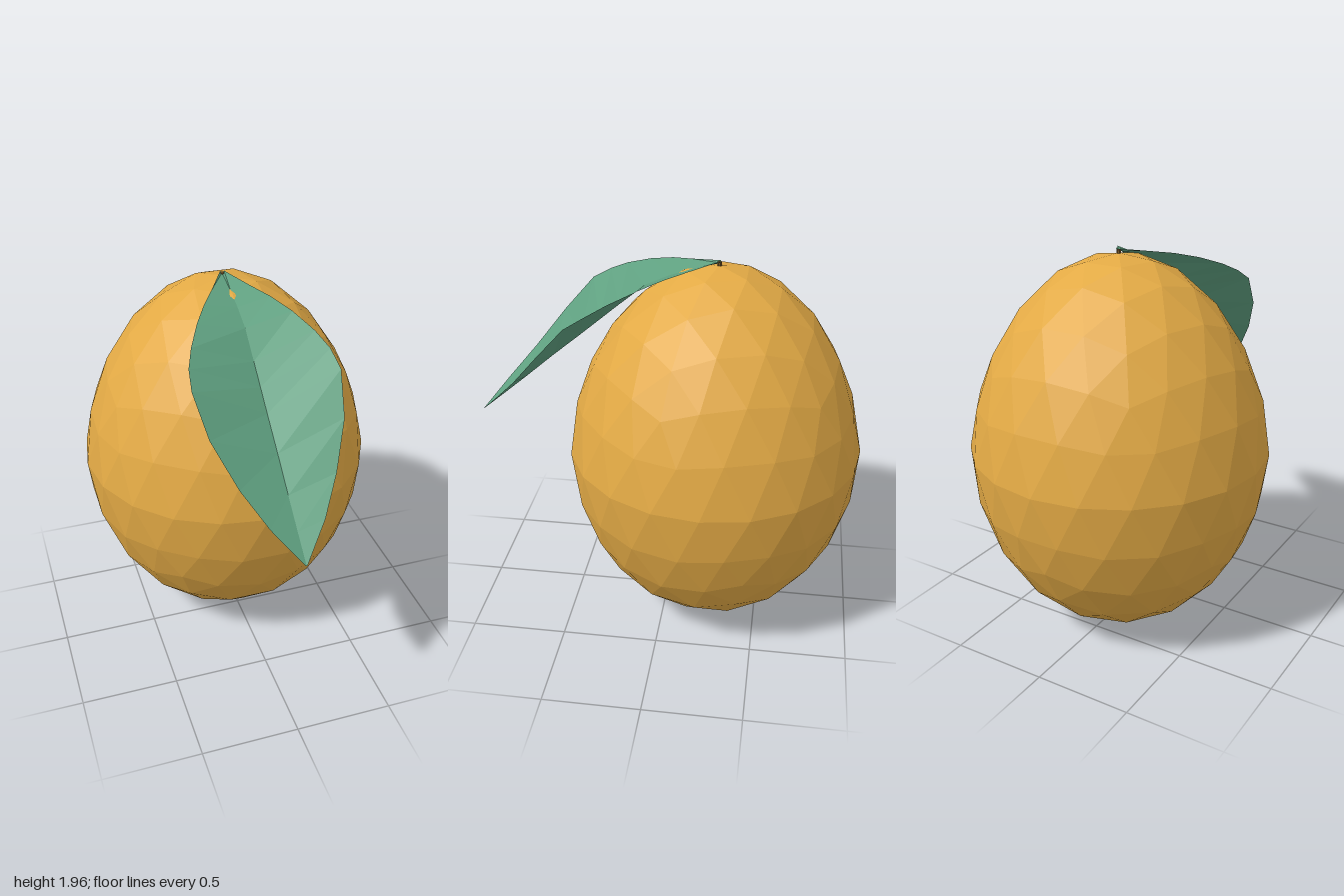
import * as THREE from 'three';

function material(color, extra = {}) {
  return new THREE.MeshStandardMaterial({ color, flatShading: true, ...extra });
}

// Faceted fruit: an icosphere standing on a pole, stretched tall and narrowed towards the top
function createFruit() {
  const geometry = new THREE.IcosahedronGeometry(1, 3);
  geometry.rotateX(-Math.atan((1 + Math.sqrt(5)) / 2));
  geometry.rotateY(Math.PI);
  geometry.rotateZ(Math.PI);
  const p = geometry.attributes.position;
  for (let i = 0; i < p.count; i++) {
    const y = p.getY(i);
    const r = 0.755 * (1 - 0.11 * Math.max(0, y));
    p.setXYZ(i, p.getX(i) * r, 0.967 + y * 0.967, p.getZ(i) * r - 0.245);
  }
  geometry.computeVertexNormals();
  const mesh = new THREE.Mesh(geometry, material(0xe3aa45));
  mesh.name = 'fruit';
  return mesh;
}

// Drooping leaf: sections along its length, each a shallow V with the midrib lowest
function createLeaf() {
  // z, half width, height of the edges, height of the midrib
  const sections = [
    [-0.25, 0.01, 1.955, 1.945],
    [-0.1, 0.1, 1.925, 1.905],
    [0, 0.165, 1.905, 1.87],
    [0.12, 0.235, 1.87, 1.815],
    [0.25, 0.3, 1.82, 1.705],
    [0.35, 0.34, 1.77, 1.62],
    [0.45, 0.355, 1.71, 1.535],
    [0.6, 0.32, 1.54, 1.41],
    [0.75, 0.23, 1.355, 1.28],
    [0.88, 0.13, 1.21, 1.17],
    [1, 0.005, 1.072, 1.07],
  ];
  const positions = [];
  const index = [];
  sections.forEach(([z, w, edge, mid], i) => {
    positions.push(-w, edge, z, 0, mid, z, w, edge, z);
    if (i === 0) return;
    for (let c = 0; c < 2; c++) {
      const a = (i - 1) * 3 + c;
      const b = i * 3 + c;
      index.push(a, b, a + 1, b, b + 1, a + 1);
    }
  });
  const geometry = new THREE.BufferGeometry();
  geometry.setAttribute('position', new THREE.Float32BufferAttribute(positions, 3));
  geometry.setIndex(index);
  geometry.computeVertexNormals();
  const mesh = new THREE.Mesh(geometry, material(0x5fa080, { side: THREE.DoubleSide }));
  mesh.name = 'leaf';
  return mesh;
}

// Tiny stalk joining the leaf to the fruit
function createStalk() {
  const mesh = new THREE.Mesh(new THREE.CylinderGeometry(0.011, 0.011, 0.05, 6), material(0x7a5a2c));
  mesh.position.set(0, 1.925, -0.245);
  mesh.name = 'stalk';
  return mesh;
}

export function createModel() {
  const model = new THREE.Group();
  model.name = 'fruitWithLeaf';
  model.add(createFruit(), createLeaf(), createStalk());
  return model;
}
